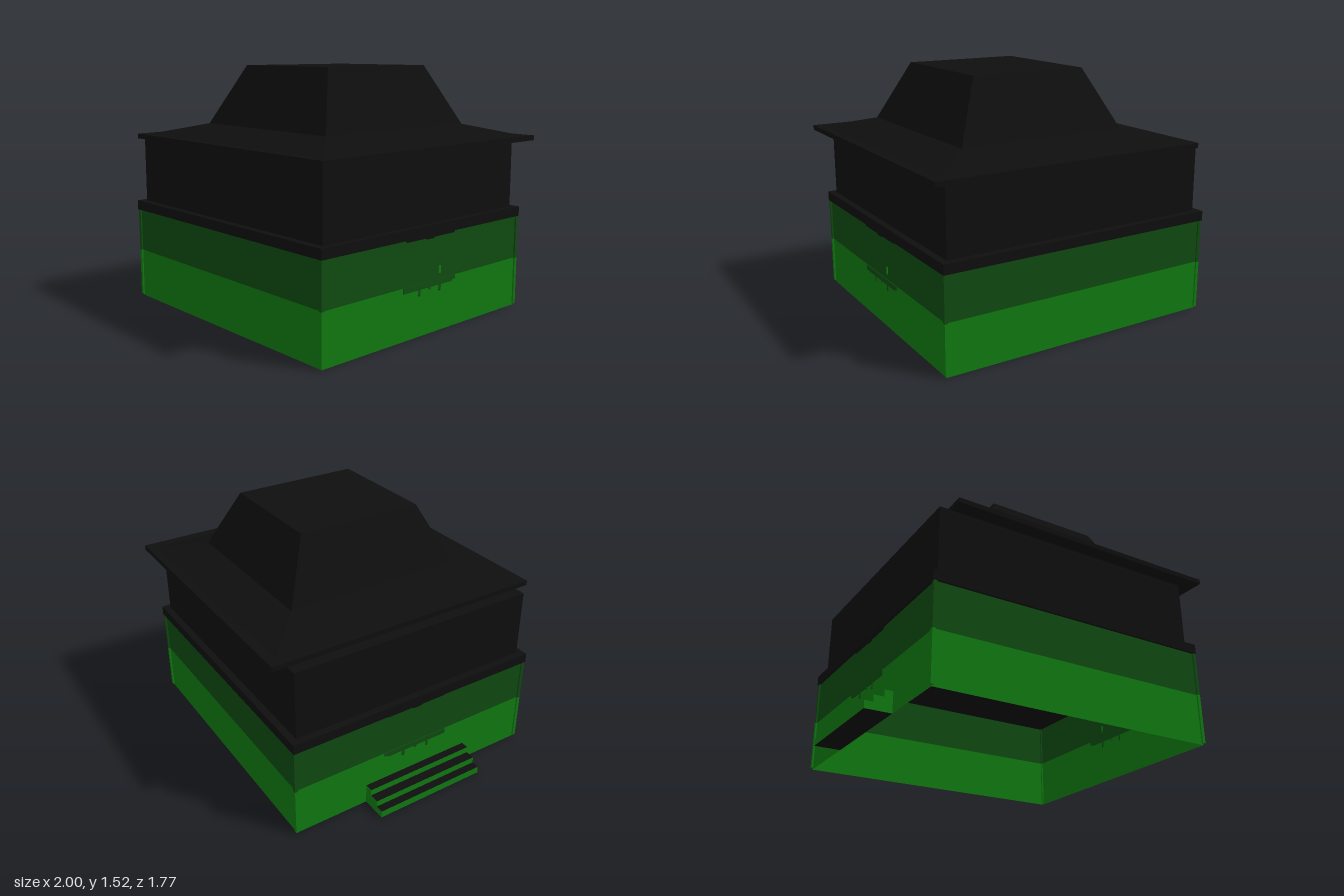
import * as THREE from 'three';

const mat = (name, color, side = THREE.FrontSide) => {
  const m = new THREE.MeshStandardMaterial({ color, side });
  m.name = name;
  return m;
};

// Flat-faced loft through rectangles [x0, x1, z0, z1, y], listed upward; cap closes the top
function loft(sections, cap) {
  const pos = [];
  const quad = (a, b, c, d) => pos.push(...a, ...b, ...c, ...a, ...c, ...d);
  const rings = sections.map(([x0, x1, z0, z1, y]) =>
    [[x0, y, z1], [x1, y, z1], [x1, y, z0], [x0, y, z0]]);
  for (let i = 0; i + 1 < rings.length; i++)
    for (let j = 0; j < 4; j++) {
      const k = (j + 1) % 4;
      quad(rings[i][j], rings[i][k], rings[i + 1][k], rings[i + 1][j]);
    }
  if (cap) quad(...rings[rings.length - 1]);
  const g = new THREE.BufferGeometry();
  g.setAttribute('position', new THREE.Float32BufferAttribute(pos, 3));
  g.computeVertexNormals();
  return g;
}

export function createModel() {
  const root = new THREE.Group();
  root.name = 'house';
  const black = mat('black', 0x0e0e0e);
  const green = mat('green', 0x107810, THREE.DoubleSide);
  const darkGreen = mat('darkGreen', 0x0f4a11, THREE.DoubleSide);

  const add = (name, geometry, material) => {
    const m = new THREE.Mesh(geometry, material);
    m.name = name;
    root.add(m);
    return m;
  };
  const box = (name, material, x0, x1, y0, y1, z0, z1) => {
    const m = add(name, new THREE.BoxGeometry(x1 - x0, y1 - y0, z1 - z0), material);
    m.position.set((x0 + x1) / 2, (y0 + y1) / 2, (z0 + z1) / 2);
    return m;
  };

  // Lower storey: two bands of hollow wall, open underneath, with corner posts
  for (const [name, m, y0, y1] of [['lowerWall', green, 0, 0.31], ['middleWall', darkGreen, 0.31, 0.58]]) {
    add(name, loft([[-0.84, 0.93, -0.825, 0.825, y0], [-0.84, 0.93, -0.825, 0.825, y1]], false), m);
    for (const [x0, x1] of [[-0.85, -0.83], [0.92, 0.94]])
      for (const s of [-1, 1])
        box('cornerPost', m, x0, x1, Math.max(y0, 0.01), y1, s * 0.825 - 0.01, s * 0.825 + 0.01);
  }

  // Ledge and upper storey
  box('ledge', black, -0.855, 0.942, 0.58, 0.64, -0.838, 0.838);
  box('upperWall', black, -0.81, 0.90, 0.64, 1.06, -0.795, 0.795);

  // Two-pitch hipped roof on an eaves slab
  box('eaves', black, -0.74, 1, 1.06, 1.09, -0.885, 0.885);
  add('roof', loft([
    [-0.68, 0.94, -0.83, 0.83, 1.09],
    [-0.40, 0.68, -0.57, 0.57, 1.16],
    [-0.23, 0.51, -0.40, 0.40, 1.52],
  ], true), black);

  // Entrance steps: green risers and sides, black treads and undersides
  [[-1, -0.95, 0.045], [-0.95, -0.89, 0.085], [-0.89, -0.84, 0.125]].forEach(([x0, x1, h]) =>
    box('step', [green, green, black, black, green, green], x0, x1, 0, h, -0.35, 0.38));

  // Ragged paint edges on both end walls: [material, z0, z1, y0, y1]
  const patches = [
    [black, -0.21, 0.20, 0.567, 0.58],
    [black, -0.03, 0.03, 0.56, 0.567],
    [darkGreen, -0.20, 0.22, 0.277, 0.31],
    [darkGreen, -0.225, -0.20, 0.287, 0.31],
    [darkGreen, 0.08, 0.092, 0.24, 0.277],
    [darkGreen, -0.098, -0.082, 0.24, 0.277],
    [darkGreen, -0.006, 0.006, 0.263, 0.277],
  ];
  for (const x of [-0.842, 0.932])
    for (const [m, z0, z1, y0, y1] of patches)
      box('paintDrip', m, x - 0.003, x + 0.003, y0, y1, z0, z1);
  box('paintFleck', green, 0.929, 0.935, 0.345, 0.39, -0.097, -0.08);

  return root;
}
